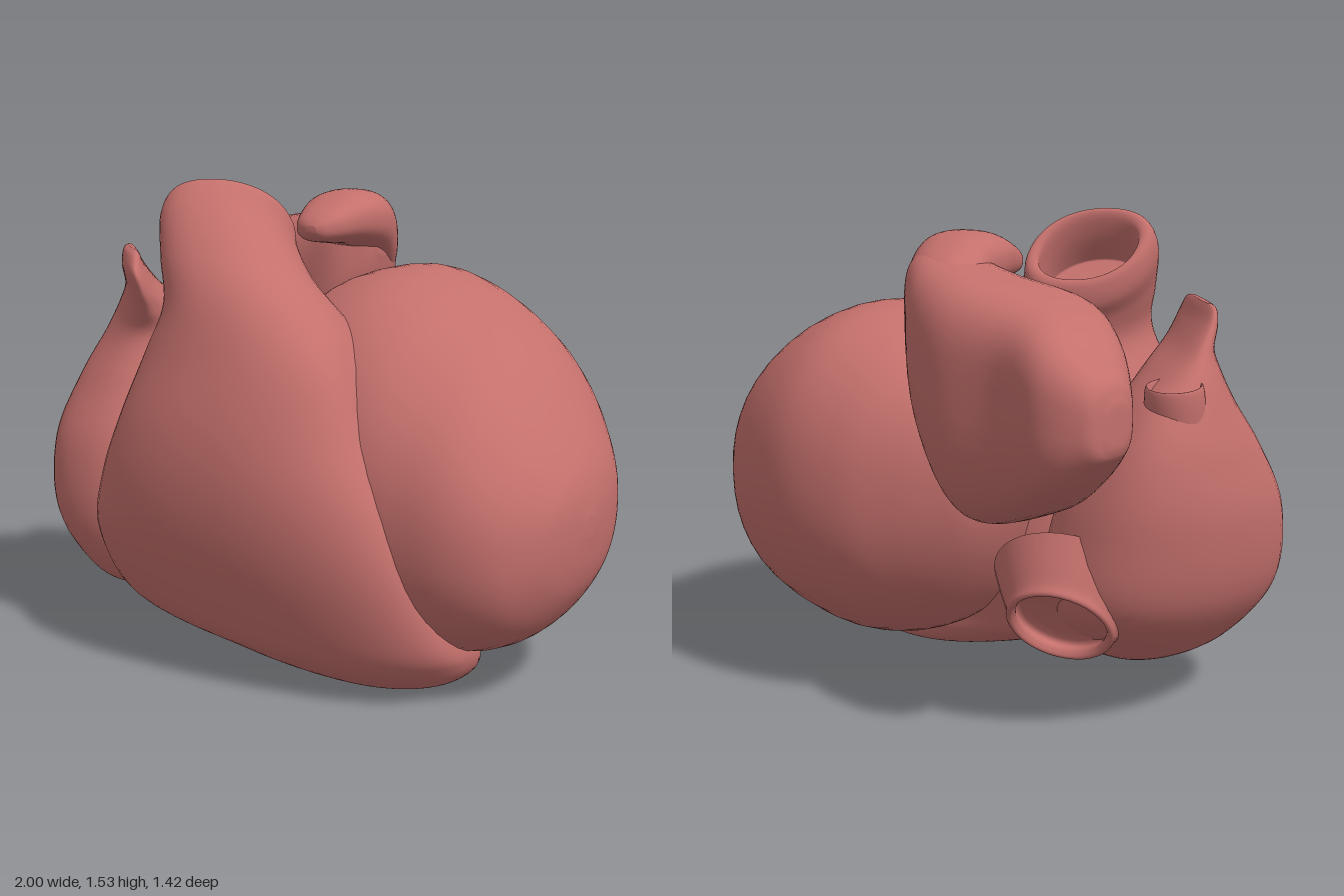
import * as THREE from 'three';

const material = new THREE.MeshStandardMaterial({ color: 0xc4706c, side: THREE.DoubleSide });
const SIDES = 48, STEPS = 7;

// Smooth interpolation between neighbouring section rows
function spline(p0, p1, p2, p3, u) {
  return p1.map((v, k) => {
    const m1 = (p2[k] - p0[k]) / 2, m2 = (p3[k] - v) / 2;
    const u2 = u * u, u3 = u2 * u;
    return (2 * u3 - 3 * u2 + 1) * v + (u3 - 2 * u2 + u) * m1
      + (3 * u2 - 2 * u3) * p2[k] + (u3 - u2) * m2;
  });
}

// Lofted organ wall. Row: [t, aMin, aMax, bMin, bWidest, bMax, slope, shear]
// t runs along the axis; a and b span the section; slope tilts it, shear skews it.
function loft(name, axis, rows, power = 2.2) {
  rows = rows.map(r => [...r, 0, 0].slice(0, 8));
  const rings = [];
  for (let i = 0; i < rows.length - 1; i++) {
    const at = k => rows[Math.min(Math.max(k, 0), rows.length - 1)];
    for (let s = 0; s < STEPS; s++) rings.push([...spline(at(i - 1), at(i), at(i + 1), at(i + 2), s / STEPS), 1]);
  }
  rings.push([...rows[rows.length - 1], 1]);
  rings.unshift([...rings[0].slice(0, 8), 0]);
  rings.push([...rings[rings.length - 1].slice(0, 8), 0]);

  const pos = [], idx = [];
  const round = v => Math.sign(v) * Math.abs(v) ** (2 / power);
  rings.forEach(([t, a0, a1, b0, bm, b1, slope, shear, size], i) => {
    for (let j = 0; j < SIDES; j++) {
      const q = j / SIDES * Math.PI * 2;
      const da = round(Math.cos(q)) * (a1 - a0) / 2 * size;
      const sn = round(Math.sin(q)) * size;
      const db = sn * (sn > 0 ? b1 - bm : bm - b0);
      const a = (a0 + a1) / 2 + da, b = bm + db + shear * da, h = t + slope * db;
      pos.push(...(axis === 'y' ? [a, h, b] : axis === 'x' ? [h, b, a] : [b, a, h]));
      if (i < rings.length - 1) {
        const n = (j + 1) % SIDES, p = i * SIDES, r = p + SIDES;
        idx.push(p + j, r + j, p + n, p + n, r + j, r + n);
      }
    }
  });
  const g = new THREE.BufferGeometry();
  g.setAttribute('position', new THREE.Float32BufferAttribute(pos, 3));
  g.setIndex(idx);
  g.computeVertexNormals();
  const mesh = new THREE.Mesh(g, material);
  mesh.name = name;
  return mesh;
}

// Short open vessel with a rounded rim
function vessel(name, center, direction, radius, length, flare) {
  const profile = [[flare, -0.3], [(1 + flare) / 2, 0.3], [1.05, 0.75], [1, 0.97], [0.92, 1], [0.85, 0.85], [0.8, 0.6], [0, 0.5]]
    .map(([r, h]) => new THREE.Vector2(r * radius, h * length));
  const mesh = new THREE.Mesh(new THREE.LatheGeometry(new THREE.SplineCurve(profile).getPoints(28), 36), material);
  mesh.name = name;
  mesh.position.set(...center);
  mesh.quaternion.setFromUnitVectors(new THREE.Vector3(0, 1, 0), new THREE.Vector3(...direction).normalize());
  return mesh;
}

export function createModel() {
  const heart = new THREE.Group();
  heart.name = 'heart';

  // Large egg-shaped chamber, its tip low at the front
  heart.add(loft('leftVentricle', 'x', [
    [-0.345, -0.4, -0.32, 0.74, 0.78, 0.82],
    [-0.325, -0.48, -0.2, 0.6, 0.78, 0.95],
    [-0.26, -0.54, -0.04, 0.45, 0.75, 1.04],
    [-0.15, -0.61, 0.16, 0.3, 0.72, 1.13, 0, -0.02],
    [0.0, -0.68, 0.33, 0.18, 0.69, 1.21, 0, -0.06],
    [0.2, -0.71, 0.45, 0.115, 0.67, 1.245, 0, -0.1],
    [0.4, -0.665, 0.52, 0.1, 0.64, 1.195, 0, -0.12],
    [0.6, -0.57, 0.525, 0.115, 0.6, 1.09, 0, -0.13],
    [0.75, -0.45, 0.51, 0.15, 0.58, 0.98, 0, -0.12],
    [0.87, -0.31, 0.45, 0.22, 0.56, 0.85, 0, -0.11],
    [0.95, -0.18, 0.34, 0.32, 0.55, 0.74, 0, -0.08],
    [0.985, -0.06, 0.24, 0.41, 0.55, 0.66],
    [1.0, 0.06, 0.12, 0.52, 0.55, 0.58],
  ], 2.2));

  // Front chamber, narrowing upwards into a tilted, hollow outflow
  heart.add(loft('rightVentricle', 'y', [
    [0.003, 0.33, 0.48, 0.14, 0.2, 0.26],
    [0.012, 0.2, 0.56, 0.04, 0.21, 0.37],
    [0.04, 0.02, 0.64, -0.03, 0.23, 0.46],
    [0.1, -0.22, 0.69, -0.05, 0.28, 0.55],
    [0.19, -0.53, 0.695, -0.05, 0.37, 0.615],
    [0.4, -0.61, 0.63, -0.1, 0.45, 0.685],
    [0.6, -0.56, 0.55, -0.1, 0.47, 0.71],
    [0.8, -0.48, 0.44, -0.08, 0.46, 0.69],
    [1.0, -0.4, 0.34, -0.02, 0.43, 0.62, 0.1],
    [1.13, -0.35, 0.23, 0.08, 0.36, 0.56, 0.25, -0.1],
    [1.25, -0.38, 0.06, 0.12, 0.31, 0.48, 0.5, -0.3],
    [1.35, -0.42, -0.06, 0.11, 0.25, 0.39, 0.9, -0.52],
    [1.415, -0.42, -0.1, 0.11, 0.215, 0.32, 1.15, -0.62],
    [1.415, -0.39, -0.13, 0.13, 0.215, 0.3, 1.15, -0.62],
    [1.35, -0.38, -0.12, 0.13, 0.23, 0.32, 1.0, -0.55],
    [1.28, -0.36, -0.1, 0.16, 0.26, 0.36, 0.8, -0.4],
  ]));

  // Side chamber, thinning upwards into a flap set at an angle
  heart.add(loft('rightAtrium', 'y', [
    [0.13, -0.56, -0.5, 0.12, 0.16, 0.2],
    [0.15, -0.66, -0.46, 0.02, 0.17, 0.32],
    [0.21, -0.79, -0.41, -0.12, 0.18, 0.45],
    [0.4, -0.95, -0.36, -0.34, 0.15, 0.53],
    [0.65, -1.0, -0.39, -0.35, 0.1, 0.51, 0, 0.1],
    [0.85, -0.98, -0.46, -0.29, 0.08, 0.4, 0, 0.32],
    [1.0, -0.94, -0.52, -0.18, 0.1, 0.29, 0, 0.6],
    [1.09, -0.91, -0.51, -0.04, 0.15, 0.26, 0, 0.8],
    [1.16, -0.88, -0.5, 0.09, 0.19, 0.26, 0, 0.95],
    [1.23, -0.86, -0.51, 0.17, 0.23, 0.28, 0, 0.95],
    [1.275, -0.84, -0.56, 0.19, 0.22, 0.25, 0, 0.9],
    [1.29, -0.8, -0.63, 0.19, 0.2, 0.21, 0, 0.9],
  ]));
  heart.add(vessel('upperVeinOpening', [-0.845, 0.9, -0.1], [-0.03, 1, -0.12], 0.085, 0.18, 1.1));
  heart.add(vessel('lowerVeinOpening', [-0.59, 0.43, -0.27], [-0.3, -0.6, -0.75], 0.165, 0.125, 1.5));

  // Root of the main artery between the chambers
  const root = new THREE.Mesh(new THREE.SphereGeometry(1, 40, 28), material);
  root.name = 'arteryRoot';
  root.position.set(-0.35, 1.03, 0.04);
  root.scale.set(0.16, 0.24, 0.15);
  heart.add(root);

  // Rear upper chamber, lying crosswise
  heart.add(loft('leftAtrium', 'x', [
    [-0.955, -0.54, -0.49, 1.0, 1.03, 1.07],
    [-0.95, -0.58, -0.46, 0.96, 1.03, 1.11],
    [-0.92, -0.635, -0.41, 0.92, 1.04, 1.17],
    [-0.79, -0.68, -0.27, 0.81, 1.07, 1.28],
    [-0.6, -0.63, -0.12, 0.7, 1.1, 1.345, 0, -0.03],
    [-0.38, -0.63, -0.11, 0.65, 1.1, 1.39, 0, -0.06],
    [-0.22, -0.57, -0.1, 0.8, 1.16, 1.42, 0, -0.06],
    [-0.1, -0.47, -0.11, 1.0, 1.26, 1.44],
    [-0.02, -0.38, -0.17, 1.15, 1.3, 1.42],
    [0.01, -0.3, -0.22, 1.27, 1.32, 1.37],
  ], 2.9));

  // Ear-like lobe reaching forwards over the top
  heart.add(loft('leftAuricle', 'z', [
    [-0.52, 1.25, 1.3, -0.32, -0.28, -0.24],
    [-0.46, 1.15, 1.4, -0.36, -0.23, -0.1],
    [-0.36, 1.16, 1.45, -0.32, -0.14, 0.0],
    [-0.24, 1.27, 1.485, -0.25, -0.09, 0.06],
    [-0.1, 1.31, 1.48, -0.2, -0.06, 0.07],
    [0.02, 1.325, 1.44, -0.14, -0.04, 0.05],
    [0.075, 1.335, 1.41, -0.1, -0.035, 0.02],
    [0.098, 1.36, 1.385, -0.05, -0.03, -0.01],
  ], 2.4));

  return heart;
}
